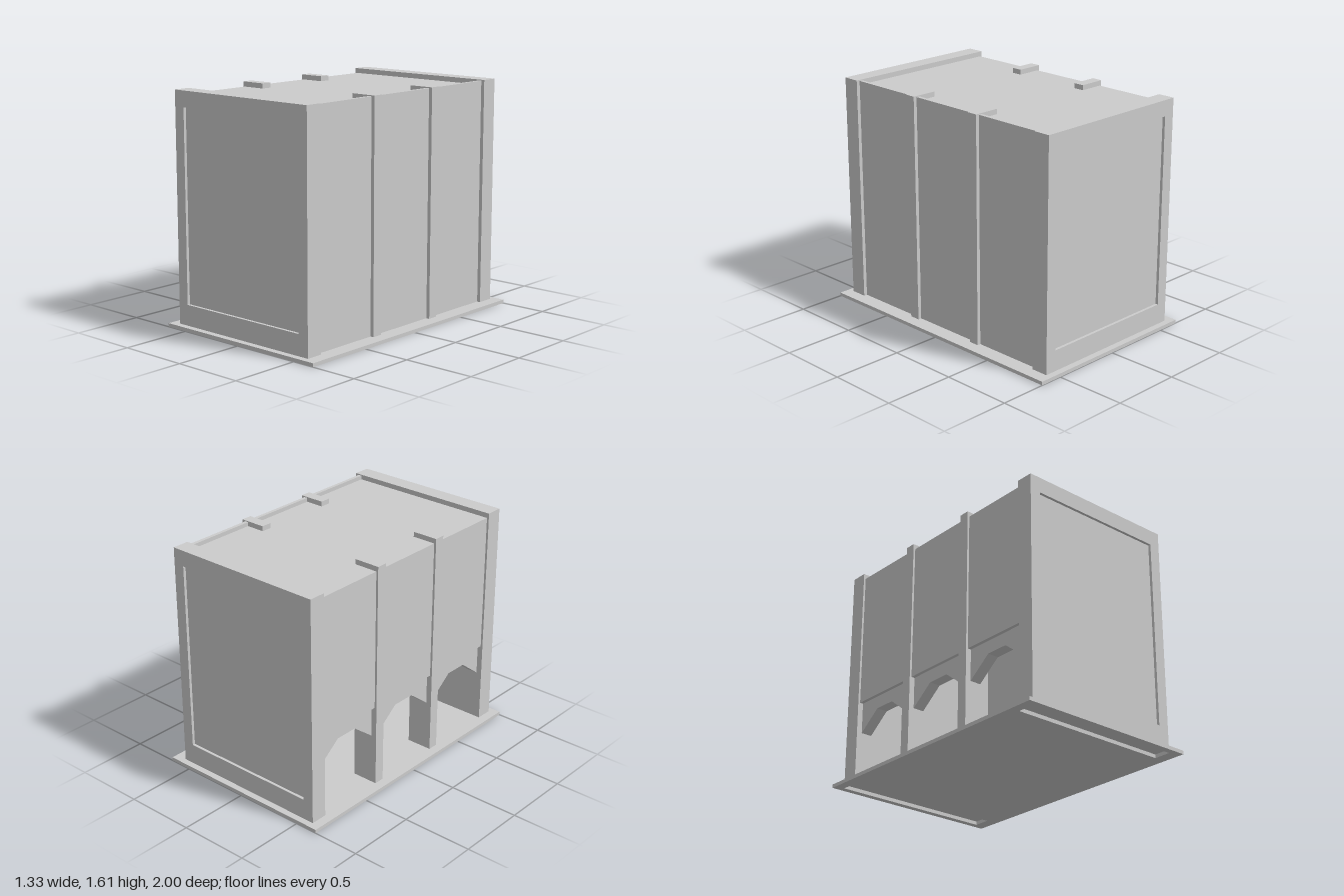
import * as THREE from 'three';

const material = new THREE.MeshStandardMaterial({ color: 0xcccccc, flatShading: true });

function add(parent, name, geometry) {
  const mesh = new THREE.Mesh(geometry, material);
  mesh.name = name;
  parent.add(mesh);
  return mesh;
}

// Box given by its two extreme corners
function box(parent, name, [x0, y0, z0], [x1, y1, z1]) {
  const mesh = add(parent, name, new THREE.BoxGeometry(x1 - x0, y1 - y0, z1 - z0));
  mesh.position.set((x0 + x1) / 2, (y0 + y1) / 2, (z0 + z1) / 2);
  return mesh;
}

function rectPoints(x0, y0, x1, y1) {
  return [[x0, y0], [x1, y0], [x1, y1], [x0, y1]].map(([x, y]) => new THREE.Vector2(x, y));
}

function extrude(shape, depth) {
  return new THREE.ExtrudeGeometry(shape, { depth, bevelEnabled: false });
}

export function createModel() {
  const model = new THREE.Group();
  model.name = 'arcadeBuilding';

  const base = 0.025, top = 1.61, roofY = 1.575;
  const xMin = -0.6, xMax = 0.58;
  const endIn = 0.835, endOut = 0.955, recess = 0.02;
  const postIn = 0.255, postOut = 0.33, postWidth = 0.185;

  // Base plate, open beneath the two end walls
  const plate = new THREE.Shape(rectPoints(-0.665, -1, 0.665, 1));
  for (const [a, b] of [[endIn, endOut], [-endOut, -endIn]]) {
    plate.holes.push(new THREE.Path(rectPoints(xMin, a, xMax, b)));
  }
  add(model, 'basePlate', extrude(plate, base).rotateX(-Math.PI / 2));

  // End walls: a core slab with a raised border round a sunken panel
  const border = new THREE.Shape(rectPoints(xMin, base, xMax, top));
  border.holes.push(new THREE.Path(rectPoints(-0.52, 0.17, 0.5, 1.5)));
  for (const [name, s] of [['frontWall', 1], ['backWall', -1]]) {
    const wall = new THREE.Group();
    wall.name = name;
    const a = s * endIn, b = s * (endOut - recess);
    box(wall, 'wallPanel', [xMin, base, Math.min(a, b)], [xMax, top, Math.max(a, b)]);
    const rim = add(wall, 'wallBorder', extrude(border, recess));
    rim.position.z = s > 0 ? endOut - recess : -endOut;
    model.add(wall);
  }

  // Full-height posts on both long sides
  for (const [z0, z1] of [[postIn, postOut], [-postOut, -postIn]]) {
    box(model, 'leftPost', [xMax - postWidth, base, z0], [xMax, top, z1]);
    box(model, 'rightPost', [xMin, base, z0], [xMin + postWidth, top, z1]);
  }

  // Closed long wall, rising above the roof as a low parapet
  box(model, 'leftWall', [0.53, base, -endIn], [0.555, 1.603, endIn]);

  // Roof and the upper panel of the open side
  box(model, 'roof', [-0.585, roofY - 0.025, -endIn], [0.53, roofY, endIn]);
  box(model, 'rightUpperWall', [-0.585, 0.6, -endIn], [-0.56, roofY - 0.025, endIn]);

  // Bracketed lintel in each bay of the open side
  const soffit = 0.51, foot = 0.38, reach = 0.17, thickness = 0.08;
  for (const [z0, z1] of [[-endIn, -postOut], [-postIn, postIn], [postOut, endIn]]) {
    const lintel = new THREE.Shape([
      [z0, 0.7], [z0, foot], [z0 + reach, soffit],
      [z1 - reach, soffit], [z1, foot], [z1, 0.7],
    ].map(([z, y]) => new THREE.Vector2(-z, y)));
    const mesh = add(model, 'archLintel', extrude(lintel, thickness).rotateY(Math.PI / 2));
    mesh.position.x = -0.56;
  }

  return model;
}
